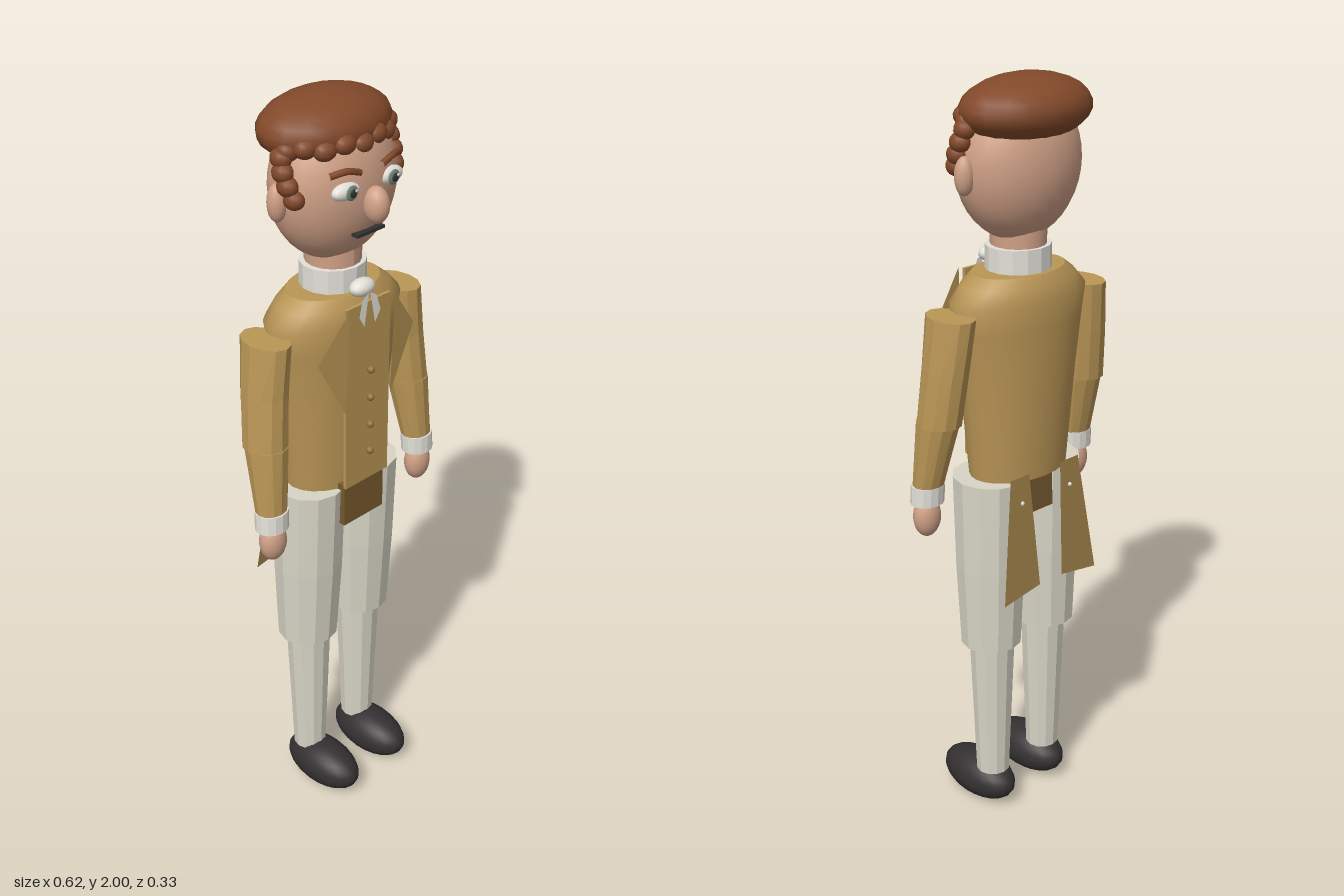
import * as THREE from 'three';

const mat = (name, color, extra = {}) =>
  Object.assign(new THREE.MeshStandardMaterial({ color, ...extra }), { name });

export function createModel() {
  const model = new THREE.Group();
  model.name = 'gentleman';
  const both = { side: THREE.DoubleSide };
  const skin = mat('skin', 0xcfa086);
  const hair = mat('hair', 0x82492a);
  const coat = mat('coat', 0xba9656, both);
  const tailCloth = mat('tail cloth', 0xa08149, both);
  const darkCloth = mat('dark cloth', 0x76592e);
  const linen = mat('linen', 0xe2e0d8, both);
  const breeches = mat('breeches', 0xd8d5c6);
  const black = mat('black leather', 0x343032);
  const iris = mat('iris', 0x6f8578);
  const brass = mat('brass', 0x96733a);

  const add = (name, geometry, material, x = 0, y = 0, z = 0) => {
    const mesh = new THREE.Mesh(geometry, material);
    mesh.name = name;
    mesh.position.set(x, y, z);
    model.add(mesh);
    return mesh;
  };
  const ball = (name, material, p, r, seg = 18) => {
    const mesh = add(name, new THREE.SphereGeometry(1, seg, Math.ceil(seg * 0.7)), material, ...p);
    mesh.scale.set(...r);
    return mesh;
  };
  // Closed body through elliptical rings [y, rx, rz, cx, cz], listed from top to bottom
  const loft = (name, material, rings, sides, flat = true) => {
    let g = new THREE.CylinderGeometry(1, 1, 1, sides, rings.length - 1);
    const p = g.attributes.position;
    for (let i = 0; i < p.count; i++) {
      const [y, rx, rz, cx, cz] = rings[Math.round((0.5 - p.getY(i)) * (rings.length - 1))];
      p.setXYZ(i, cx + p.getX(i) * rx, y, cz + p.getZ(i) * rz);
    }
    if (flat) g = g.toNonIndexed();
    g.computeVertexNormals();
    return add(name, g, material);
  };
  // Flat cloth panel fanned from its first corner
  const panel = (name, material, corners) => {
    const g = new THREE.BufferGeometry().setFromPoints(corners.map((c) => new THREE.Vector3(...c)));
    const index = [];
    for (let i = 1; i < corners.length - 1; i++) index.push(0, i, i + 1);
    g.setIndex(index);
    g.computeVertexNormals();
    return add(name, g, material);
  };

  // Head and face
  ball('head', skin, [0, 1.79, -0.01], [0.172, 0.19, 0.128], 28);
  ball('nose', skin, [0, 1.765, 0.13], [0.03, 0.045, 0.034]);
  add('mouth', new THREE.BoxGeometry(0.09, 0.008, 0.02), black, 0, 1.695, 0.106);
  ball('hair cap', hair, [0, 1.92, -0.036], [0.182, 0.08, 0.13], 18);
  for (let i = 0; i < 9; i++) {
    const a = (i - 4) * 0.32;
    ball('fringe curl', hair, [0.157 * Math.sin(a), 1.9 + (i % 2) * 0.008, -0.03 + 0.112 * Math.cos(a)],
      [0.031, 0.025, 0.026], 12);
  }

  // Neck, collar and cravat
  loft('neck', skin, [[1.64, 0.07, 0.07, 0, -0.01], [1.56, 0.07, 0.07, 0, -0.01]], 16, false);
  loft('collar', linen, [[1.59, 0.085, 0.08, 0, -0.01], [1.52, 0.085, 0.08, 0, -0.01]], 14);
  ball('cravat knot', linen, [0, 1.545, 0.088], [0.037, 0.022, 0.025], 14);

  // Coat body, waistcoat front and seat
  loft('coat body', coat, [
    [1.53, 0.135, 0.09, 0, -0.01], [1.505, 0.168, 0.105, 0, -0.01], [1.465, 0.205, 0.117, 0, -0.01],
    [1.4, 0.192, 0.117, 0, -0.01], [1.25, 0.17, 0.112, 0, -0.01], [1, 0.145, 0.1, 0, -0.01],
  ], 24, false);
  add('waistcoat front', new THREE.BoxGeometry(0.15, 0.5, 0.009), coat, 0, 1.265, 0.106);
  add('waistcoat skirt', new THREE.BoxGeometry(0.14, 0.12, 0.19), darkCloth, 0, 0.957, 0.006);
  for (let i = 0; i < 4; i++)
    ball('waistcoat button', brass, [0, 1.335 - i * 0.077, 0.121], [0.01, 0.01, 0.01], 10);

  for (const s of [1, -1]) {
    // Ears, eyes and brows
    ball('ear', skin, [s * 0.175, 1.78, -0.012], [0.025, 0.047, 0.024], 14);
    ball('eye white', linen, [s * 0.07, 1.81, 0.102], [0.042, 0.021, 0.02]);
    ball('iris', iris, [s * 0.068, 1.81, 0.12], [0.018, 0.018, 0.005]);
    ball('pupil', black, [s * 0.068, 1.81, 0.124], [0.01, 0.01, 0.004], 12);
    ball('eye glint', linen, [s * 0.068 + 0.006, 1.816, 0.128], [0.004, 0.004, 0.002], 8);
    const brow = new THREE.CatmullRomCurve3([[0.035, 1.848, 0.113], [0.075, 1.86, 0.11], [0.112, 1.852, 0.092]]
      .map(([x, y, z]) => new THREE.Vector3(s * x, y, z)));
    add('eyebrow', new THREE.TubeGeometry(brow, 8, 0.008, 6), hair);

    // Sideburn curls
    [[0.167, 1.885, -0.005], [0.172, 1.855, 0.005], [0.17, 1.825, 0.018], [0.162, 1.795, 0.03]]
      .forEach((p) => ball('sideburn curl', hair, [s * p[0], p[1], p[2]], [0.024, 0.024, 0.028], 12));

    // Cravat ends and lapels
    panel('cravat end', linen, [[s * 0.002, 1.54, 0.113], [s * 0.024, 1.525, 0.113],
      [s * 0.036, 1.485, 0.115], [s * 0.018, 1.455, 0.115]]);
    panel('lapel', coat, [[s * 0.078, 1.515, 0.122], [s * 0.165, 1.4, 0.106], [s * 0.078, 1.235, 0.113]]);

    // Arms
    loft('upper arm', coat, [[1.452, 0.05, 0.073, s * 0.223, -0.01], [1.32, 0.054, 0.065, s * 0.237, -0.004],
      [1.18, 0.055, 0.06, s * 0.25, 0.008]], 12);
    loft('lower arm', coat, [[1.185, 0.054, 0.058, s * 0.25, 0.012], [1, 0.042, 0.036, s * 0.264, 0.04]], 12);
    loft('cuff', linen, [[1.012, 0.045, 0.04, s * 0.264, 0.04], [0.962, 0.045, 0.04, s * 0.266, 0.042]], 14);
    ball('hand', skin, [s * 0.266, 0.922, 0.044], [0.038, 0.055, 0.032]);

    // Coat tails with a button each
    panel('coat tail', tailCloth, [[s * 0.055, 1.02, -0.108], [s * 0.12, 1.02, -0.108],
      [s * 0.165, 0.69, -0.134], [s * 0.04, 0.71, -0.134]]);
    ball('tail button', linen, [s * 0.085, 0.95, -0.115], [0.006, 0.006, 0.005], 8);

    // Legs and shoes
    loft('breeches leg', breeches, [[1, 0.095, 0.1, s * 0.095, -0.005],
      [0.75, 0.092, 0.092, s * 0.096, -0.007], [0.52, 0.082, 0.08, s * 0.098, -0.01]], 12);
    loft('stocking', breeches, [[0.53, 0.063, 0.06, s * 0.095, -0.01], [0.11, 0.046, 0.045, s * 0.095, -0.01]], 12);
    ball('shoe', black, [s * 0.095, 0.064, 0.045], [0.068, 0.064, 0.125], 20);
  }
  return model;
}
